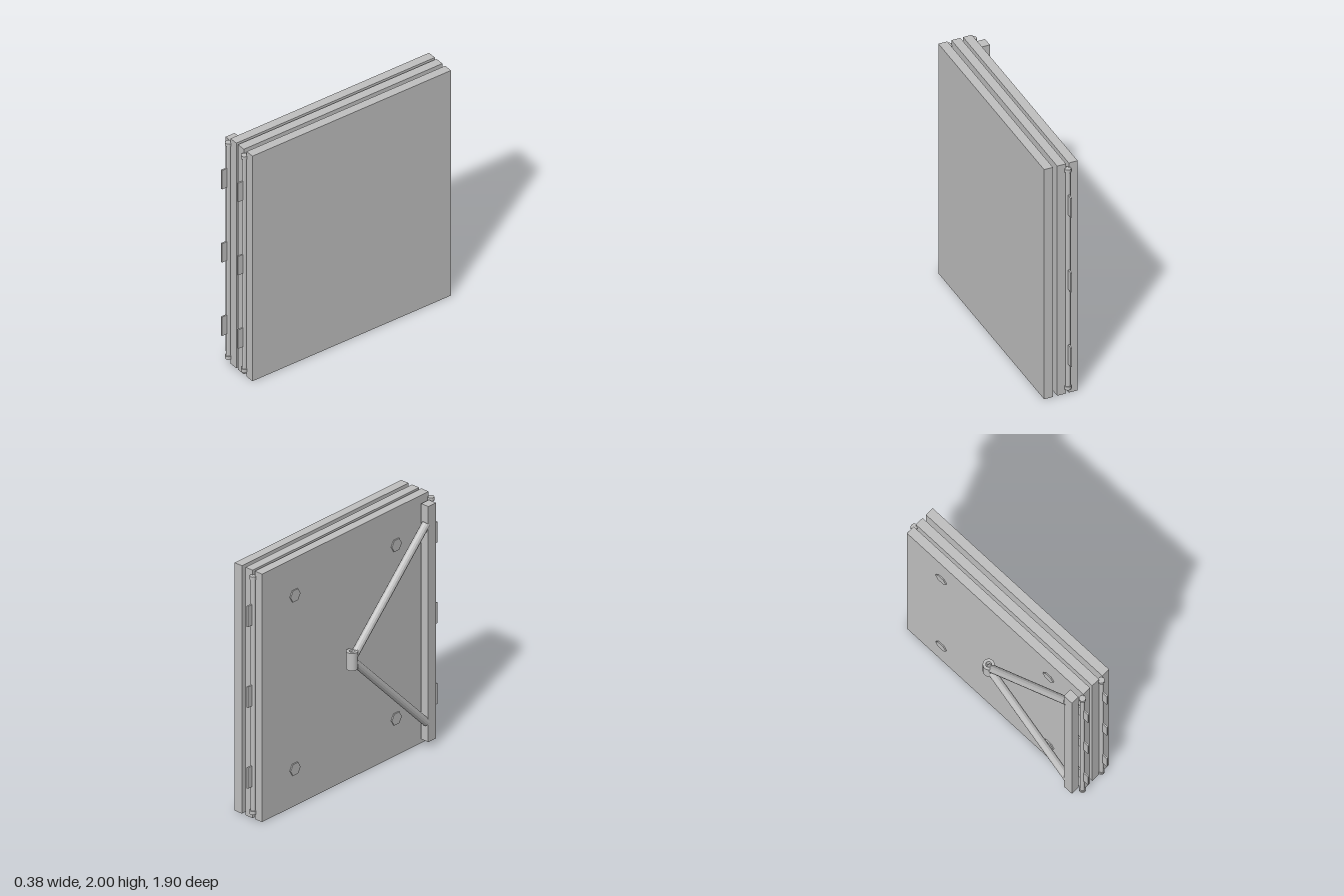
import * as THREE from 'three';

export function createModel() {
  const model = new THREE.Group();
  model.name = 'foldingPanels';
  const grey = new THREE.MeshStandardMaterial({ color: 0xc0c0c0, flatShading: true });
  grey.name = 'plain grey';

  const add = (name, geometry, x, y, z, parent = model) => {
    const mesh = new THREE.Mesh(geometry, grey);
    mesh.name = name;
    mesh.position.set(x, y, z);
    parent.add(mesh);
    return mesh;
  };

  // Three folded panels
  const panel = new THREE.BoxGeometry(0.07, 2, 1.766);
  for (const x of [-0.046, 0.046, 0.15]) add('panel', panel, x, 1, 0);

  // Hinges: full-height pin, end caps and three leaf plates
  const pin = new THREE.CylinderGeometry(0.018, 0.018, 1.88, 12);
  const cap = new THREE.CylinderGeometry(0.025, 0.025, 0.028, 12);
  const leaf = new THREE.BoxGeometry(0.012, 0.168, 0.122);
  for (const [x, z] of [[-0.097, 0.89], [0.097, 0.89], [0, -0.89]]) {
    const hinge = new THREE.Group();
    hinge.name = 'hinge';
    hinge.position.set(x, 0, z);
    model.add(hinge);
    add('hingePin', pin, 0, 1, 0, hinge);
    for (const y of [0.058, 1.948]) add('hingeCap', cap, 0, y, 0, hinge);
    for (const y of [0.352, 1.004, 1.655]) add('hingeLeaf', leaf, 0, y, 0, hinge);
  }

  // Hexagonal studs on the panel faces, with a corner pointing along z
  const stud = new THREE.CylinderGeometry(0.053, 0.053, 0.01, 6).rotateZ(Math.PI / 2);
  for (const x of [-0.085, 0.085, 0.11])
    for (const y of [0.3, 1.7])
      for (const z of [-0.537, 0.537]) add('stud', stud, x, y, z);

  // Upright post carrying the swing bracket
  add('post', new THREE.BoxGeometry(0.068, 1.9, 0.081), -0.14, 1, 0.8185);

  // Two diagonal arms meeting at the hub
  const run = 0.775, rise = 0.785, angle = Math.atan2(run, rise);
  const arm = new THREE.CylinderGeometry(0.031, 0.031, Math.hypot(run, rise), 12);
  for (const side of [1, -1]) {
    const mesh = add('diagonalArm', arm, -0.147, 1 + side * (0.015 + rise / 2), 0.01 + run / 2);
    mesh.rotation.x = side > 0 ? angle : Math.PI - angle;
  }

  // Hollow upright hub
  const ring = new THREE.Shape().absarc(0, 0, 0.043, 0, Math.PI * 2);
  ring.holes.push(new THREE.Path().absarc(0, 0, 0.021, 0, Math.PI * 2, true));
  const hub = new THREE.ExtrudeGeometry(ring, { depth: 0.14, bevelEnabled: false, curveSegments: 16 });
  add('hub', hub.rotateX(-Math.PI / 2), -0.147, 0.93, 0);

  return model;
}
